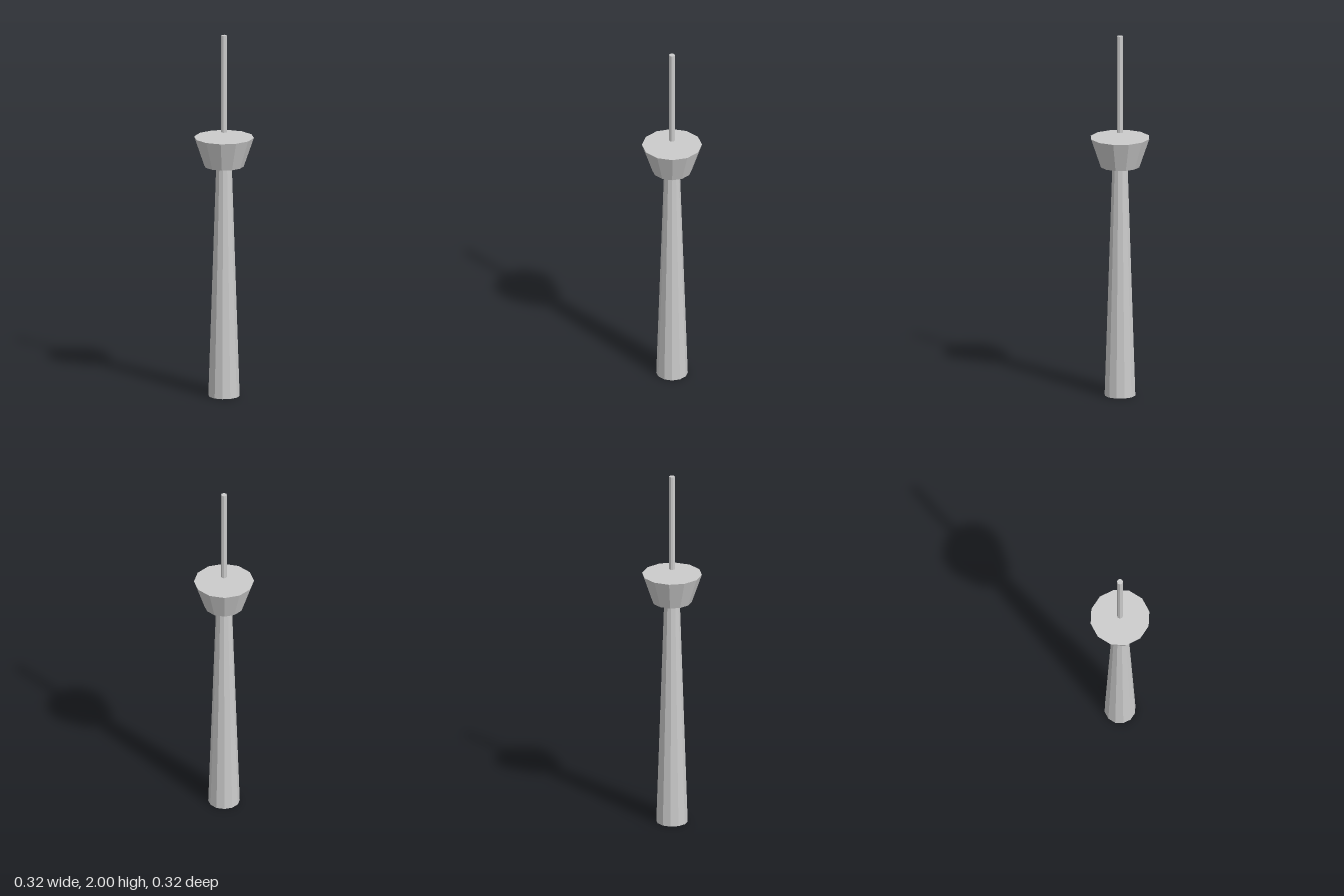
import * as THREE from 'three';

export function createModel() {
  const group = new THREE.Group();
  const material = new THREE.MeshStandardMaterial({ color: 0xcccccc, flatShading: true });

  // Faceted, capped section of the tower between two heights
  const section = (name, rBottom, rTop, y0, y1, sides) => {
    const mesh = new THREE.Mesh(
      new THREE.CylinderGeometry(rTop, rBottom, y1 - y0, sides), material);
    mesh.name = name;
    mesh.position.y = (y0 + y1) / 2;
    group.add(mesh);
  };

  section('towerShaft', 0.085, 0.0425, 0, 1.275, 12);
  section('observationDeck', 0.107, 0.162, 1.275, 1.435, 12);
  // The mast floats slightly above the deck
  section('antennaMast', 0.016, 0.016, 1.463, 2, 8);

  return group;
}
